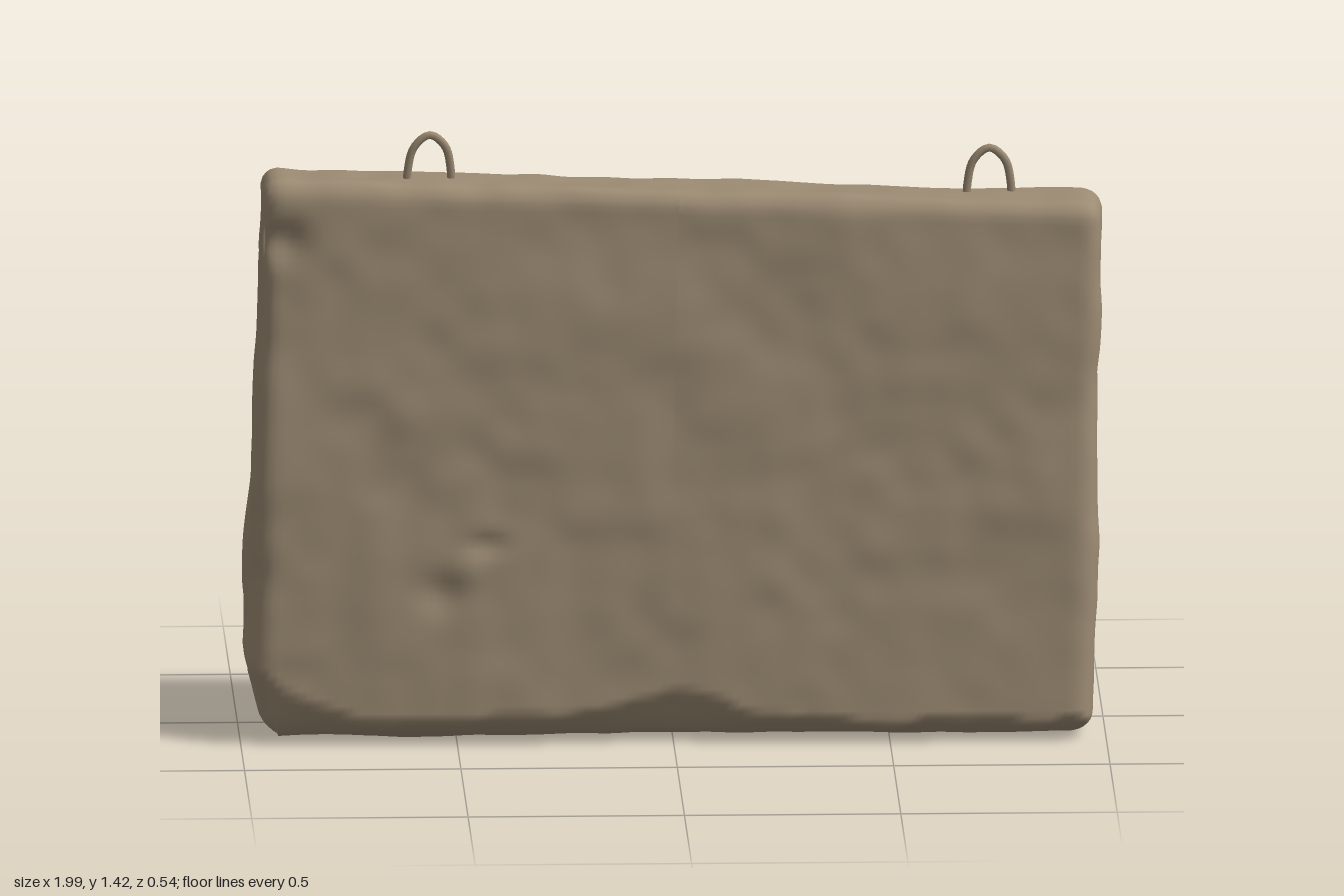
import * as THREE from 'three';
import { mergeVertices } from 'three/addons/utils/BufferGeometryUtils.js';

const { lerp, clamp, smoothstep } = THREE.MathUtils;

// Seeded smooth value noise in -1..1
function hash(x, y, z) {
  const s = Math.sin(x * 127.1 + y * 311.7 + z * 74.7) * 43758.5453;
  return (s - Math.floor(s)) * 2 - 1;
}
function noise(x, y, z) {
  const c = [x, y, z].map(Math.floor);
  const f = [x - c[0], y - c[1], z - c[2]].map((t) => t * t * (3 - 2 * t));
  let sum = 0;
  for (let i = 0; i < 8; i++) {
    const o = [i & 1, (i >> 1) & 1, i >> 2];
    const w = o.reduce((a, b, k) => a * (b ? f[k] : 1 - f[k]), 1);
    sum += w * hash(c[0] + o[0], c[1] + o[1], c[2] + o[2]);
  }
  return sum;
}

// Linear lookup in a list of [position, value] points
function profile(points, t) {
  for (let i = 1; i < points.length; i++) {
    const [a, va] = points[i - 1], [b, vb] = points[i];
    if (t <= b) return lerp(va, vb, clamp((t - a) / (b - a), 0, 1));
  }
  return points[points.length - 1][1];
}
const bump = (x, y, cx, cy, rx, ry) => Math.exp(-(((x - cx) / rx) ** 2) - ((y - cy) / ry) ** 2);

// Height of the broken strip along the lower front edge
const brokenEdge = [[-1, 0.2], [-0.9, 0.13], [-0.72, 0.06], [-0.5, 0.05], [-0.3, 0.06],
  [-0.15, 0.09], [0, 0.12], [0.2, 0.07], [0.45, 0.04], [1, 0.04]];

// Worn tapering slab: a dense box, rounded, tapered and weathered
function slabGeometry() {
  let g = new THREE.BoxGeometry(2, 2, 2, 110, 72, 26);
  g.deleteAttribute('uv');
  g.deleteAttribute('normal');
  g = mergeVertices(g);
  const p = g.attributes.position;
  const q = new THREE.Vector3(), inner = new THREE.Vector3();
  for (let i = 0; i < p.count; i++) {
    const t = (p.getY(i) + 1) / 2;
    const halfZ = lerp(0.272, 0.094, t);
    const r = lerp(0.06, 0.042, t);
    // Round the edges
    q.set(p.getX(i) * 0.98, t * 1.3, p.getZ(i) * halfZ);
    inner.set(clamp(q.x, -0.98 + r, 0.98 - r), clamp(q.y, r, 1.3 - r), clamp(q.z, r - halfZ, halfZ - r));
    const d = q.clone().sub(inner);
    const n = d.clone().normalize();
    if (d.lengthSq() > 0) q.copy(inner).addScaledVector(n, r);
    // Lean the front face and slope the top
    const up = q.y / 1.3;
    q.z += lerp(-0.003, 0.085, up);
    q.x += q.x < 0 ? lerp(-0.01, 0.035, up) : lerp(-0.005, 0.012, up);
    q.y = 0.006 + up * lerp(1.317, 1.246, (q.x + 1) / 2);
    // Weathered surface
    const wear = 0.009 * noise(q.x * 5, q.y * 5, q.z * 5) + 0.005 * noise(q.x * 13, q.y * 13, q.z * 13);
    q.addScaledVector(n, wear * (n.y < -0.7 ? 0.5 : 0.8));
    // Broken lower front edge and lower corner
    const h = profile(brokenEdge, q.x) + 0.015 * noise(q.x * 12, 3, 1);
    if (q.z > 0.1 && q.y < h) q.z -= 0.06 * Math.pow(1 - Math.max(q.y, 0) / h, 0.8) * smoothstep(q.z, 0.1, 0.25);
    if (q.x < -0.9 && q.y < 0.18) q.x += 0.06 * (1 - q.y / 0.18) * smoothstep(-q.x, 0.9, 0.98);
    // Chips in the front face
    if (n.z > 0.5) {
      q.z -= 0.018 * bump(q.x, q.y, -0.54, 0.36, 0.05, 0.05) + 0.014 * bump(q.x, q.y, -0.43, 0.47, 0.05, 0.025)
        + 0.025 * bump(q.x, q.y, -0.9, 1.18, 0.05, 0.05);
      q.z += 0.007 * bump(q.x, q.y, -0.47, 0.4, 0.04, 0.04);
    }
    p.setXYZ(i, q.x, Math.max(q.y, 0), q.z);
  }
  g.computeVertexNormals();
  return g;
}

// Lifting loop: a bent bar rising from the top
function loopGeometry(lean) {
  const pts = [[-0.052, -0.05], [-0.05, 0.02], [-0.036, 0.075], [0, 0.103], [0.036, 0.075], [0.05, 0.02], [0.052, -0.05]]
    .map(([x, y]) => new THREE.Vector3(x, y, y * lean));
  return new THREE.TubeGeometry(new THREE.CatmullRomCurve3(pts), 32, 0.0095, 8);
}

export function createModel() {
  const concrete = new THREE.MeshStandardMaterial({ color: 0x9c8b73 });
  concrete.name = 'concrete';
  const model = new THREE.Group();
  model.name = 'concreteBarrier';

  const slab = new THREE.Mesh(slabGeometry(), concrete);
  slab.name = 'slab';
  model.add(slab);

  const loops = [
    { name: 'rightLiftingLoop', at: [-0.56, 1.309, 0.088], turn: 0.12, lean: 0.1 },
    { name: 'leftLiftingLoop', at: [0.735, 1.262, 0.06], turn: 0.06, lean: 0.05 },
  ];
  for (const { name, at, turn, lean } of loops) {
    const loop = new THREE.Mesh(loopGeometry(lean), concrete);
    loop.name = name;
    loop.position.set(...at);
    loop.rotation.y = turn;
    model.add(loop);
  }
  return model;
}
